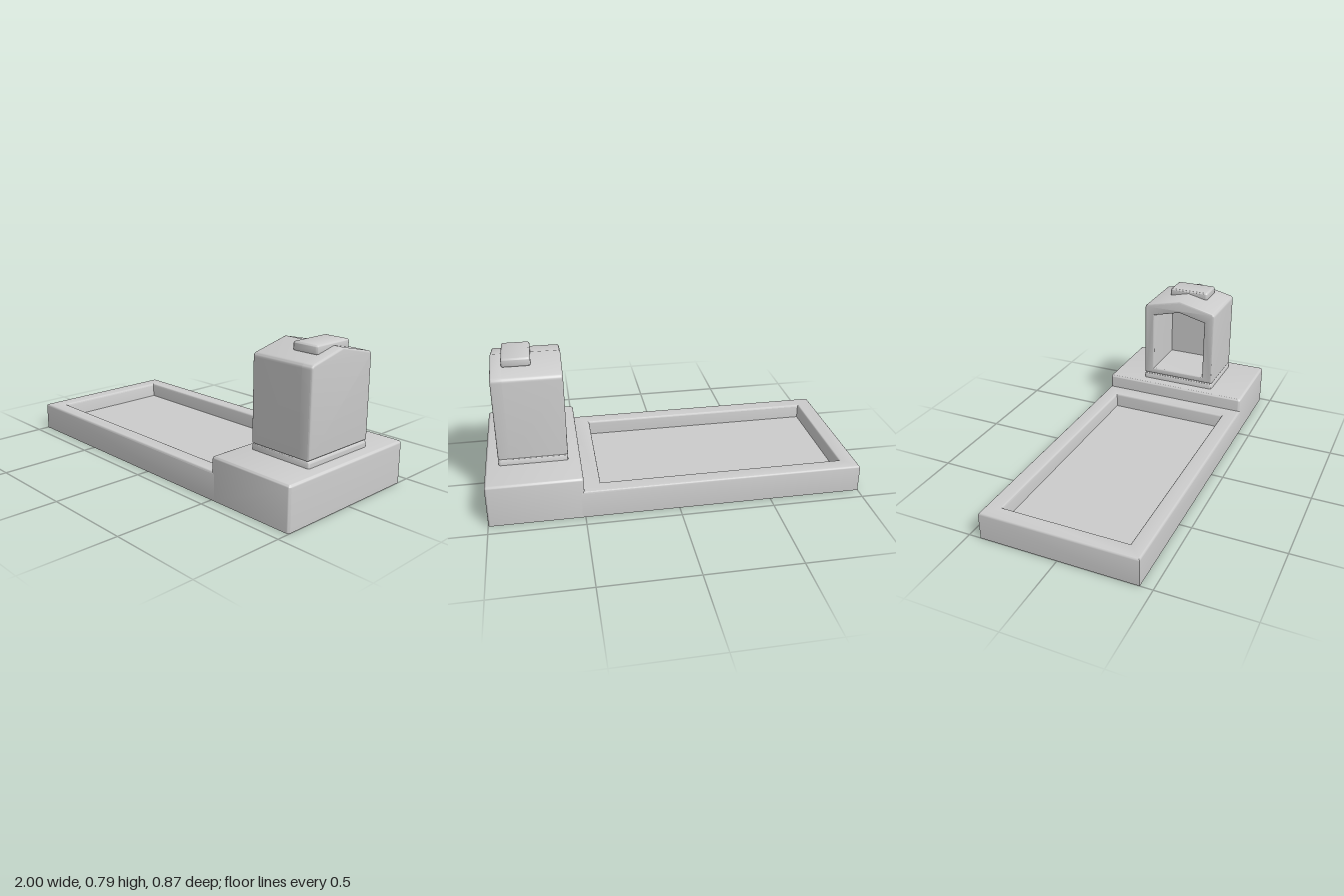
import * as THREE from 'three';
import { toCreasedNormals } from 'three/addons/utils/BufferGeometryUtils.js';
import { RoundedBoxGeometry } from 'three/addons/geometries/RoundedBoxGeometry.js';

const material = new THREE.MeshStandardMaterial({ color: 0xcccccc });

function part(name, geometry) {
  const mesh = new THREE.Mesh(toCreasedNormals(geometry, 0.7), material);
  mesh.name = name;
  return mesh;
}

// Squash everything outside [min, max] on one axis, leaving a sharp flat end
function flatten(geometry, axis, min, max = Infinity) {
  const p = geometry.attributes.position;
  for (let i = 0; i < p.count; i++) {
    p.setComponent(i, axis, Math.min(max, Math.max(min, p.getComponent(i, axis))));
  }
  return geometry;
}

// Block with rounded sides and top and a sharp foot
function block(x0, x1, y0, y1, halfZ, r) {
  const h = y1 - y0 + r * 1.2;
  const g = new RoundedBoxGeometry(x1 - x0, h, halfZ * 2, 4, r);
  g.translate((x0 + x1) / 2, y1 - h / 2, 0);
  return flatten(g, 1, y0);
}

function rectangle(Type, x0, x1, halfZ) {
  return new Type([[x0, -halfZ], [x1, -halfZ], [x1, halfZ], [x0, halfZ]]
    .map(([x, z]) => new THREE.Vector2(x, z)));
}

// Extrusion with softened ends, profile kept at full size between them
function softExtrude(shape, length, r) {
  const g = new THREE.ExtrudeGeometry(shape, {
    depth: length - 2 * r, bevelThickness: r, bevelSize: r, bevelOffset: -r, bevelSegments: 3, curveSegments: 5,
  });
  return g.translate(0, 0, r);
}

// Gabled outline, with softened eaves when r > 0
function gable(Type, halfW, bottom, eave, peak, r) {
  const s = new Type();
  const k = (peak - eave) / halfW;
  s.moveTo(-halfW, bottom);
  s.lineTo(halfW, bottom);
  s.lineTo(halfW, eave - r);
  if (r) s.quadraticCurveTo(halfW, eave, halfW - r, eave + r * k);
  s.lineTo(0, peak);
  s.lineTo(-halfW + r, eave + r * k);
  if (r) s.quadraticCurveTo(-halfW, eave, -halfW, eave - r);
  s.closePath();
  return s;
}

export function createModel() {
  const group = new THREE.Group();
  const halfZ = 0.433;

  // Low tray: raised rim around a sunken floor
  const rim = rectangle(THREE.Shape, -1, 0.52, halfZ);
  rim.holes.push(rectangle(THREE.Path, -0.91, 0.41, 0.347));
  const r = 0.012;
  const rimGeometry = softExtrude(rim, 0.153 + 2 * r, r).rotateX(-Math.PI / 2).translate(0, -2 * r, 0);
  group.add(part('trayRim', flatten(rimGeometry, 1, 0)));
  group.add(part('trayFloor', new THREE.BoxGeometry(1.34, 0.07, 0.71).translate(-0.25, 0.035, 0)));

  // Raised base and thin plinth
  group.add(part('base', block(0.5, 1, 0, 0.231, halfZ, 0.016)));
  group.add(part('plinth', block(0.565, 0.93, 0.22, 0.265, 0.223, 0.013)));

  // Gabled housing: hollow niche open to -x, closed by a solid rear wall
  const x0 = 0.565, x1 = 0.93, split = 0.87, soft = 0.01;
  const outline = () => gable(THREE.Shape, 0.223, 0.267, 0.72, 0.772, 0.02);
  const shell = outline();
  shell.holes.push(gable(THREE.Path, 0.16, 0.305, 0.66, 0.70, 0));
  const toX = (g) => g.rotateY(Math.PI / 2).translate(x0, 0, 0);
  group.add(part('nicheShell', flatten(toX(softExtrude(shell, x1 - x0, soft)), 0, x0, split)));
  group.add(part('rearWall', flatten(toX(softExtrude(outline(), x1 - x0, soft)), 0, split, x1)));

  // Cap block straddling the ridge
  group.add(part('ridgeCap',
    new RoundedBoxGeometry(0.15, 0.05, 0.24, 4, 0.012).translate(0.797, 0.763, 0)));

  return group;
}
